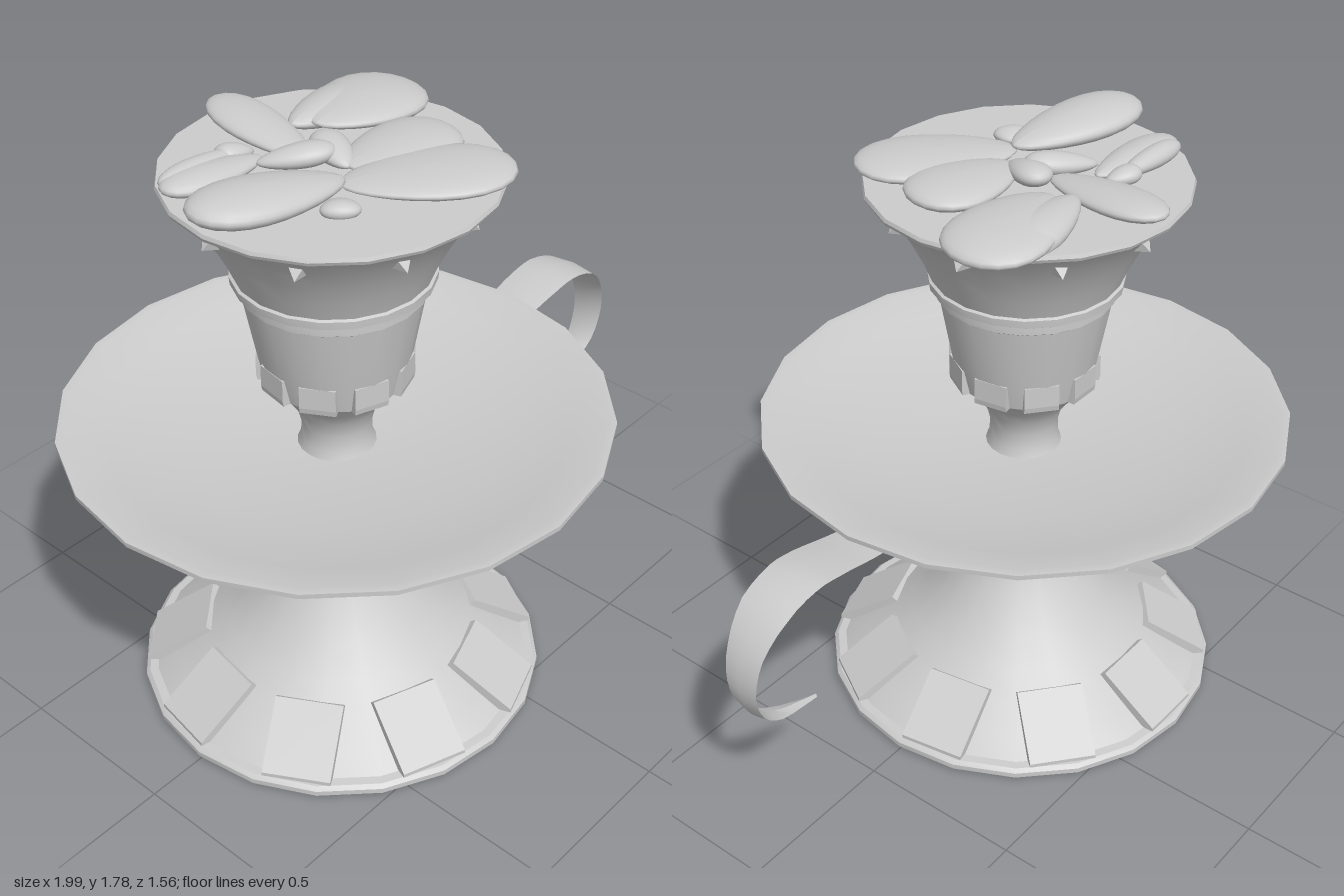
import * as THREE from 'three';
import { toCreasedNormals } from 'three/addons/utils/BufferGeometryUtils.js';
import { ConvexGeometry } from 'three/addons/geometries/ConvexGeometry.js';

const material = new THREE.MeshStandardMaterial({ color: 0xcccccc });
const SIDES = 20;
const ORNAMENTS = 9;

function addMesh(parent, name, geometry) {
  const mesh = new THREE.Mesh(geometry, material);
  mesh.name = name;
  parent.add(mesh);
  return mesh;
}

// Turned part from [radius, height] points, outer side listed bottom to top
function turned(parent, name, points) {
  const geo = new THREE.LatheGeometry(points.map(([r, y]) => new THREE.Vector2(r, y)), SIDES);
  return addMesh(parent, name, toCreasedNormals(geo, 0.55));
}

// Repeats an ornament around the axis; its local +x points outward
function ring(parent, name, geometry) {
  const group = new THREE.Group();
  group.name = name + 'Ring';
  for (let i = 0; i < ORNAMENTS; i++) {
    const angle = Math.PI + (i * 2 * Math.PI) / ORNAMENTS;
    addMesh(group, name, geometry).rotation.y = angle - Math.PI / 2;
  }
  parent.add(group);
}

// Prism with a [radius, height] outline and a tangential width
function slab(outline, width) {
  const shape = new THREE.Shape(outline.map(([r, y]) => new THREE.Vector2(r, y)));
  return new THREE.ExtrudeGeometry(shape, { depth: width, bevelEnabled: false })
    .translate(0, 0, -width / 2);
}

// Thin strap with a slight central ridge, narrowing to a tip
function strapGeometry() {
  const path = new THREE.CatmullRomCurve3([
    [0.08, 0.785], [0.39, 0.825], [0.765, 0.888], [0.9, 0.918], [0.99, 0.926], [1.1, 0.89],
    [1.18, 0.8], [1.205, 0.69], [1.175, 0.59], [1.1, 0.525], [0.94, 0.47],
  ].map(([x, y]) => new THREE.Vector3(x, y, 0)));
  const widths = [0.045, 0.065, 0.08, 0.085, 0.085, 0.08, 0.062, 0.052, 0.045, 0.034, 0.006];
  const steps = 30, thick = 0.008, pos = [], index = [];
  for (let i = 0; i <= steps; i++) {
    const t = i / steps, p = path.getPoint(t), d = path.getTangent(t);
    const k = Math.min(Math.floor(t * 10), 9);
    const w = THREE.MathUtils.lerp(widths[k], widths[k + 1], t * 10 - k);
    for (const [z, n] of [[-w, 0], [0, thick], [w, 0], [0, -thick]]) {
      pos.push(p.x - d.y * n, p.y + d.x * n, z);
    }
    if (i === steps) continue;
    for (let j = 0; j < 4; j++) {
      const a = i * 4 + j, b = i * 4 + ((j + 1) % 4);
      index.push(a, b, b + 4, a, b + 4, a + 4);
    }
  }
  const e = steps * 4;
  index.push(0, 2, 1, 0, 3, 2, e, e + 1, e + 2, e, e + 2, e + 3);
  const geo = new THREE.BufferGeometry();
  geo.setAttribute('position', new THREE.Float32BufferAttribute(pos, 3));
  geo.setIndex(index);
  return toCreasedNormals(geo, 0.5);
}

// Puffy petal running from an inner to an outer point, fuller at the outer end
function petalGeometry([x0, y0, z0], [x1, y1, z1], halfWidth, halfHeight) {
  const from = new THREE.Vector3(x0, y0, z0), to = new THREE.Vector3(x1, y1, z1);
  const geo = new THREE.SphereGeometry(1, 24, 16);
  const p = geo.attributes.position;
  for (let i = 0; i < p.count; i++) {
    const x = p.getX(i), fullness = 1 + 0.28 * x;
    p.setXYZ(i, x, p.getY(i) * fullness, p.getZ(i) * fullness);
  }
  const dir = to.clone().sub(from);
  geo.scale(dir.length() / 2, halfHeight, halfWidth);
  geo.rotateZ(Math.asin(dir.y / dir.length()));
  geo.rotateY(Math.atan2(-dir.z, dir.x));
  const mid = from.add(to).multiplyScalar(0.5);
  geo.translate(mid.x, mid.y, mid.z);
  geo.computeVertexNormals();
  return geo;
}

export function createModel() {
  const model = new THREE.Group();
  model.name = 'candlestick';
  const body = new THREE.Group();
  body.name = 'body';
  body.position.x = -0.22;
  model.add(body);

  // Flared foot with rim and collar
  turned(body, 'foot', [
    [0, 0], [0.59, 0], [0.602, 0.01], [0.602, 0.026], [0.59, 0.036], [0.565, 0.038],
    [0.5, 0.085], [0.42, 0.145], [0.345, 0.205], [0.275, 0.275], [0.21, 0.365], [0.16, 0.45],
    [0.115, 0.58], [0.094, 0.68], [0.085, 0.765], [0.096, 0.768], [0.096, 0.79], [0.07, 0.8],
  ]);
  ring(body, 'footSlab', slab([[0.5, 0.04], [0.582, 0.04], [0.582, 0.052], [0.4, 0.175], [0.38, 0.16]], 0.2));

  // Shallow drip dish, closed above and below
  turned(body, 'dish', [
    [0, 0.785], [0.09, 0.79], [0.25, 0.808], [0.42, 0.838], [0.6, 0.876], [0.75, 0.914],
    [0.78, 0.92], [0.78, 0.934], [0.755, 0.934], [0.65, 0.9], [0.45, 0.862], [0.25, 0.836],
    [0.1, 0.826], [0, 0.825],
  ]);
  ring(body, 'dishSpike', new ConvexGeometry([
    [0.745, 0.92, 0.13], [0.745, 0.92, -0.13], [0.52, 0.868, 0], [0.695, 0.855, 0], [0.77, 0.924, 0],
  ].map((p) => new THREE.Vector3(...p))));

  // Neck and candle cup
  turned(body, 'neck', [
    [0.115, 0.82], [0.102, 0.85], [0.1, 0.9], [0.112, 0.95], [0.145, 1.0], [0.195, 1.06],
  ]);
  turned(body, 'cup', [
    [0, 1.058], [0.198, 1.058], [0.215, 1.14], [0.25, 1.335], [0.257, 1.34], [0.257, 1.362],
    [0.278, 1.375], [0.28, 1.398], [0.272, 1.402], [0.295, 1.46], [0.33, 1.53], [0.37, 1.595],
    [0.42, 1.66], [0.435, 1.668], [0.45, 1.67], [0.454, 1.68], [0.45, 1.69], [0.43, 1.69], [0, 1.69],
  ]);
  ring(body, 'cupTooth', slab([[0.17, 1.058], [0.212, 1.058], [0.215, 1.075], [0.214, 1.14], [0.19, 1.14]], 0.1));
  const stud = new THREE.ConeGeometry(0.034, 0.04, 4).rotateY(Math.PI / 4)
    .rotateZ(-Math.PI / 2 - 0.5).translate(0.385, 1.602, 0);
  ring(body, 'cupStud', toCreasedNormals(stud, 0.3));

  // Curled strap handle
  addMesh(body, 'handle', strapGeometry());

  // Blossom: inner point, outer point, half width, half height
  const flower = new THREE.Group();
  flower.name = 'flower';
  const petals = [
    [[-0.02, 1.7, -0.06], [0.03, 1.725, -0.46], 0.078, 0.028],
    [[0.1, 1.72, -0.15], [0.49, 1.695, -0.17], 0.14, 0.036],
    [[0.06, 1.715, -0.2], [0.4, 1.69, -0.23], 0.08, 0.04],
    [[-0.08, 1.71, 0.1], [0.29, 1.715, 0.37], 0.13, 0.03],
    [[0.0, 1.71, 0.05], [0.34, 1.71, 0.12], 0.12, 0.033],
    [[-0.06, 1.72, 0.1], [-0.48, 1.745, -0.02], 0.105, 0.042],
    [[-0.09, 1.7, -0.16], [-0.4, 1.71, -0.2], 0.062, 0.028],
    [[-0.12, 1.71, -0.22], [-0.38, 1.71, -0.23], 0.036, 0.028],
    [[-0.08, 1.7, -0.2], [-0.18, 1.71, -0.24], 0.035, 0.025],
    [[-0.12, 1.7, 0.14], [-0.18, 1.7, 0.2], 0.05, 0.022],
    [[-0.14, 1.71, -0.13], [0.02, 1.735, 0.0], 0.045, 0.03],
    [[0.0, 1.71, 0.06], [0.06, 1.73, -0.1], 0.05, 0.03],
  ];
  for (const petal of petals) addMesh(flower, 'petal', petalGeometry(...petal));
  body.add(flower);

  return model;
}
